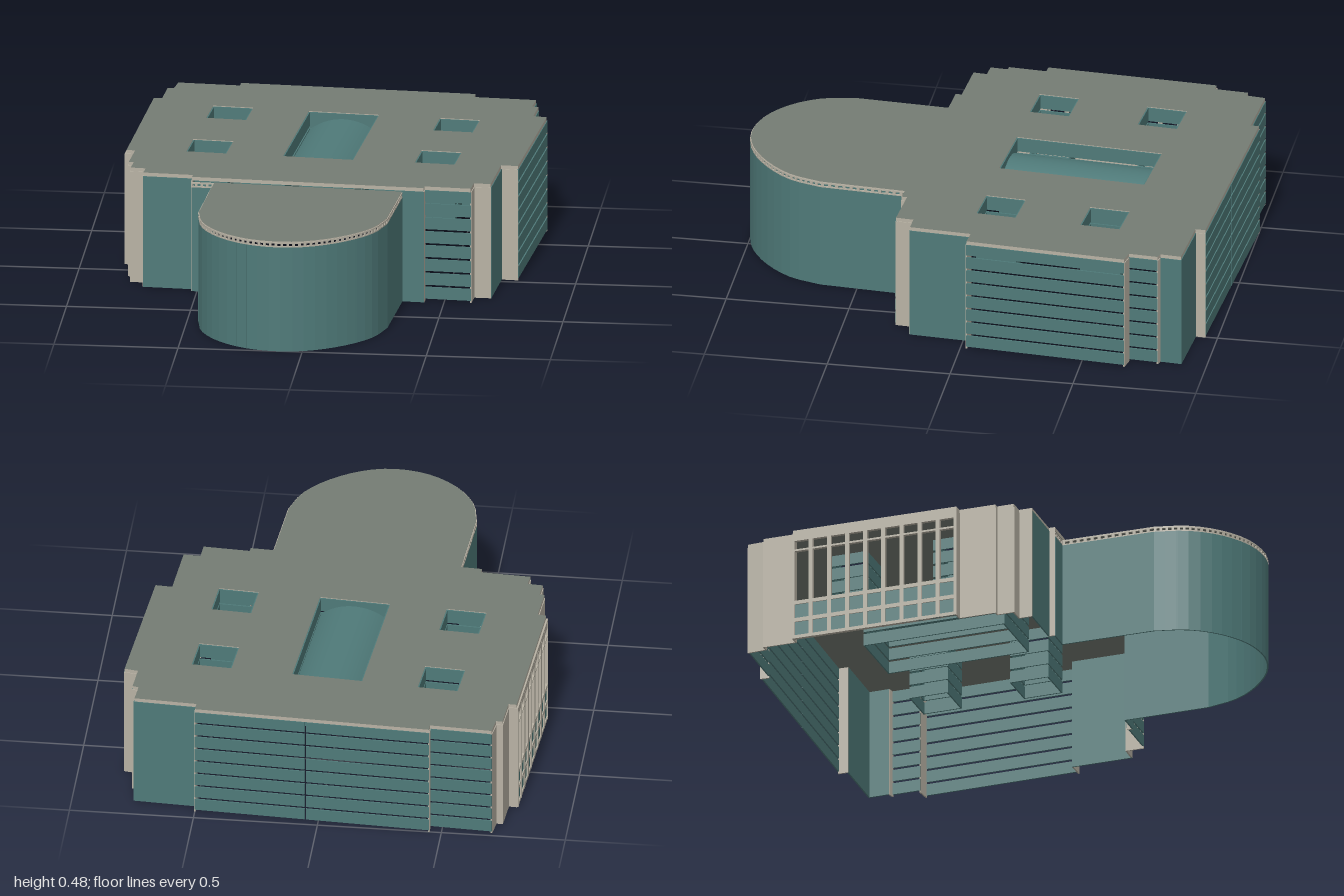
import * as THREE from 'three';

const mat = (name, color) => new THREE.MeshStandardMaterial({ name, color, side: THREE.DoubleSide });
const teal = mat('teal wall', 0x4f7a79);
const stone = mat('pale stone', 0xb8b2a4);
const roofGrey = mat('roof grey', 0x757c73);

const TOP = 0.48, EAVE = 0.465, THICK = 0.006, STOREY = 0.0585, GAP = 0.009;
const TILT = 0.073; // the courts are turned slightly in plan

// Outline of the main block: x, z and the kind of wall running to the next point
// T plain teal, B stone return, S striped, W window grid, F frieze wall, O open
const OUTLINE = [
  [-0.45, -1.0, 'S'], [0.5, -0.95, 'B'], [0.498, -0.91, 'T'], [0.75, -0.895, 'T'],
  [0.743, -0.81, 'B'], [0.768, -0.803, 'S'], [0.76, -0.685, 'B'], [0.815, -0.675, 'S'],
  [0.765, -0.025, 'B'], [0.697, -0.03, 'T'], [0.68, 0.22, 'B'], [0.612, 0.218, 'B'],
  [0.607, 0.29, 'S'], [0.42, 0.278, 'B'], [0.418, 0.3, 'T'], [0.33, 0.295, 'O'],
  [-0.43, 0.252, 'F'], [-0.52, 0.247, 'B'], [-0.519, 0.222, 'T'], [-0.72, 0.21, 'B'],
  [-0.716, 0.155, 'B'], [-0.777, 0.15, 'B'], [-0.772, 0.08, 'B'], [-0.792, 0.078, 'B'],
  [-0.782, -0.075, 'B'], [-0.817, -0.078, 'W'], [-0.777, -0.77, 'B'], [-0.744, -0.768, 'B'],
  [-0.735, -0.905, 'B'], [-0.71, -0.903, 'B'], [-0.7, -0.98, 'S'], [-0.45, -0.966, 'B'],
];

// Courts: centre x, centre z, width, depth
const COURTS = [
  [-0.455, -0.605, 0.163, 0.163], [0.465, -0.535, 0.163, 0.163],
  [-0.49, -0.16, 0.163, 0.163], [0.435, -0.107, 0.163, 0.163],
  [-0.021, -0.35, 0.286, 0.6],
];

function wall(parent, name, a, b, y0, y1, material, thick = THICK) {
  const dx = b[0] - a[0], dz = b[1] - a[1];
  const m = new THREE.Mesh(new THREE.BoxGeometry(Math.hypot(dx, dz) + 0.003, y1 - y0, thick), material);
  m.position.set((a[0] + b[0]) / 2, (y0 + y1) / 2, (a[1] + b[1]) / 2);
  m.rotation.y = -Math.atan2(dz, dx);
  m.name = name;
  parent.add(m);
}

const mix = (a, b, t) => [a[0] + (b[0] - a[0]) * t, a[1] + (b[1] - a[1]) * t];

// Storey-high strips with open slots between them
function stripedWall(parent, name, a, b, first = 0) {
  for (let k = first; k < 8; k++)
    wall(parent, name, a, b, k * STOREY + GAP, Math.min((k + 1) * STOREY, EAVE), teal);
}

// Stone lattice: two filled rows below, tall open bays above
function windowWall(parent, a, b) {
  const bays = 9;
  for (let i = 0; i <= bays; i++) {
    const t = i / bays, w = 0.01;
    wall(parent, 'mullion', mix(a, b, Math.max(0, t - w)), mix(a, b, Math.min(1, t + w)), 0, 0.45, stone, 0.016);
  }
  for (const [y0, y1] of [[0, 0.014], [0.073, 0.09], [0.15, 0.166], [0.385, 0.393], [0.43, EAVE]])
    wall(parent, 'windowRail', a, b, y0, y1, stone, 0.014);
  wall(parent, 'windowInfill', a, b, 0, 0.155, teal, 0.005);
}

// Small open stone frames under the eave
function frieze(parent, a, b, posts) {
  wall(parent, 'friezeRail', a, b, 0.437, 0.442, stone);
  wall(parent, 'friezeRail', a, b, 0.452, 0.458, stone);
  for (let i = 0; i < posts; i++) {
    const t = (i + 0.25) / posts, h = 0.16 / posts;
    wall(parent, 'friezePost', mix(a, b, t - h), mix(a, b, t + h), 0.437, 0.458, stone);
  }
}

function slab(name, points, top, depth, holes = []) {
  const shape = new THREE.Shape(points.map(p => new THREE.Vector2(p[0], p[1])));
  holes.forEach(h => shape.holes.push(new THREE.Path(h.map(p => new THREE.Vector2(p[0], p[1])))));
  const g = new THREE.ExtrudeGeometry(shape, { depth, bevelEnabled: false });
  g.rotateX(Math.PI / 2).translate(0, top, 0);
  const m = new THREE.Mesh(g, [roofGrey, stone]);
  m.name = name;
  return m;
}

// Plan corners of a court, optionally inset
function corners([cx, cz, w, d], inset = 0) {
  const c = Math.cos(TILT), s = Math.sin(TILT);
  return [[-1, -1], [1, -1], [1, 1], [-1, 1]].map(([i, j]) => {
    const x = i * (w / 2 - inset), z = j * (d / 2 - inset);
    return [cx + x * c - z * s, cz + x * s + z * c];
  });
}

export function createModel() {
  const model = new THREE.Group();
  model.name = 'building';

  // Outer walls
  const walls = new THREE.Group();
  walls.name = 'outerWalls';
  OUTLINE.forEach((a, i) => {
    const b = OUTLINE[(i + 1) % OUTLINE.length];
    if (a[2] === 'T') wall(walls, 'plainWall', a, b, 0, EAVE, teal);
    if (a[2] === 'B') wall(walls, 'stonePier', a, b, 0, EAVE, stone);
    if (a[2] === 'W') windowWall(walls, a, b);
    if (a[2] === 'F') {
      wall(walls, 'plainWall', a, b, 0, 0.437, teal);
      frieze(walls, a, b, 4);
    }
    if (a[2] === 'S') {
      // Long striped walls are split by a narrow upright joint
      const long = Math.hypot(b[0] - a[0], b[1] - a[1]) > 0.8;
      if (long) {
        stripedWall(walls, 'stripedWall', a, mix(a, b, 0.524));
        stripedWall(walls, 'stripedWall', mix(a, b, 0.532), b);
      } else stripedWall(walls, 'stripedWall', a, b);
    }
  });
  model.add(walls);

  // Main roof with openings
  model.add(slab('mainRoof', OUTLINE, TOP, TOP - EAVE, COURTS.map(c => corners(c))));

  // Light wells hanging from the roof
  COURTS.forEach((c, n) => {
    const well = new THREE.Group();
    well.name = n < 4 ? 'smallCourt' : 'largeCourt';
    const p = corners(c, 0.002);
    p.forEach((a, i) => {
      const b = p[(i + 1) % 4];
      stripedWall(well, 'courtWall', a, b, 4);
      wall(well, 'courtRim', a, b, EAVE - 0.002, TOP - 0.003, teal);
    });
    model.add(well);
  });

  // Shallow vault filling the large court
  const [cx, cz, w, d] = COURTS[4], rise = 0.055;
  const R = (w * w / 4 + rise * rise) / (2 * rise), half = Math.asin(w / 2 / R);
  const vault = new THREE.Mesh(
    new THREE.CylinderGeometry(R, R, d, 16, 1, true, -half, 2 * half).rotateX(-Math.PI / 2), teal);
  vault.position.set(cx, 0.455 - R, cz);
  vault.rotation.y = -TILT;
  vault.name = 'courtVault';
  model.add(vault);

  // Rounded front wing
  const arc = new THREE.CatmullRomCurve3([
    [-0.452, 0.64], [-0.425, 0.77], [-0.35, 0.885], [-0.23, 0.97], [-0.09, 0.999],
    [0.03, 0.975], [0.16, 0.895], [0.26, 0.78], [0.305, 0.65],
  ].map(([x, z]) => new THREE.Vector3(x, 0, z)));
  const path = [[-0.43, 0.252], ...arc.getSpacedPoints(24).map(v => [v.x, v.z]), [0.33, 0.295]];
  const wing = new THREE.Group();
  wing.name = 'roundedWing';
  for (let i = 0; i < path.length - 1; i++) {
    const a = path[i], b = path[i + 1];
    wall(wing, 'wingWall', a, b, 0, 0.437, teal);
    frieze(wing, a, b, Math.max(2, Math.round(Math.hypot(b[0] - a[0], b[1] - a[1]) / 0.03)));
  }
  wing.add(slab('wingRoof', path, 0.461, 0.004));
  model.add(wing);

  return model;
}
